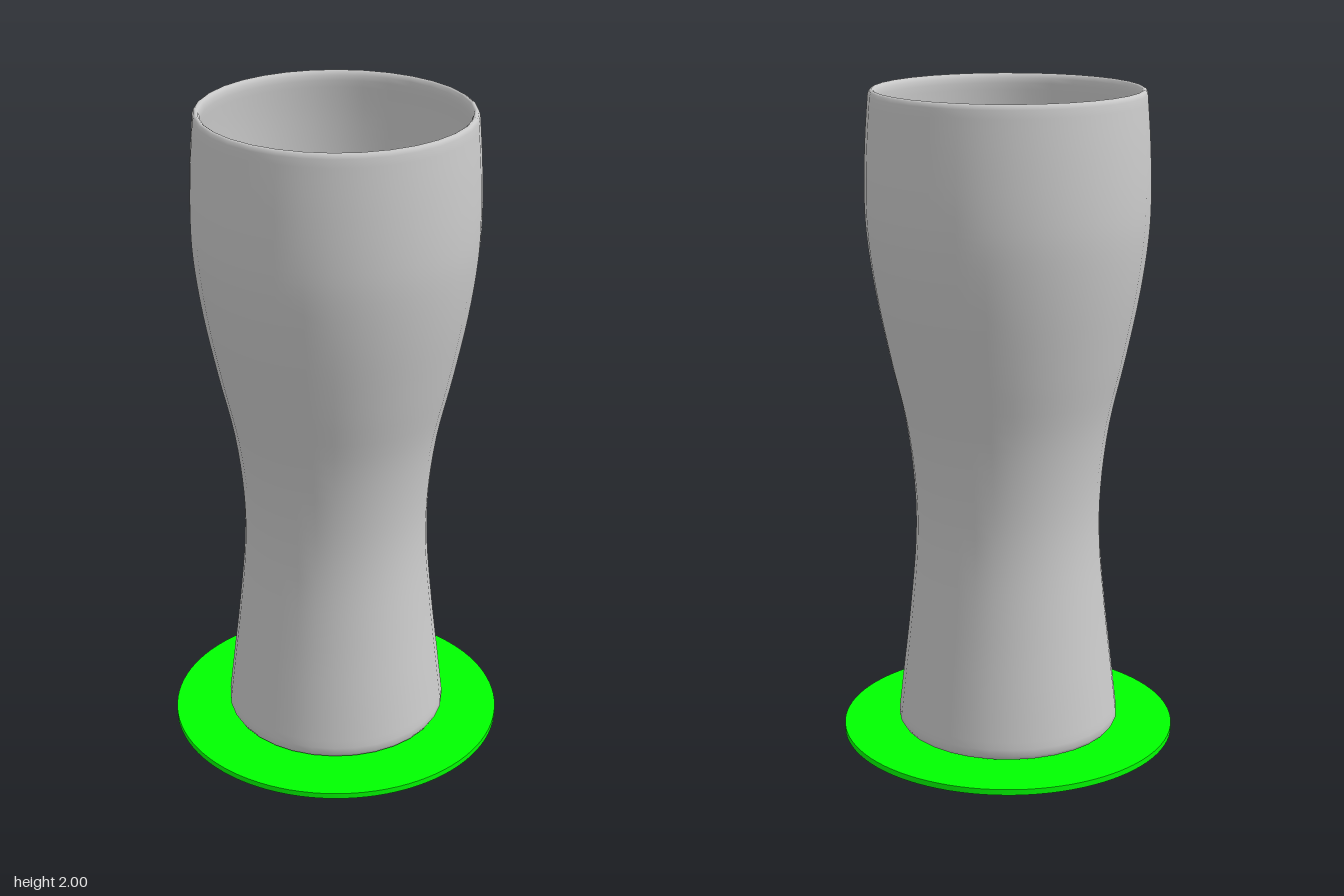
import * as THREE from 'three';

const SEGMENTS = 32;

// Smooth curve through a few [radius, height] points
function smoothProfile(points, divisions) {
  return new THREE.SplineCurve(points.map(([r, y]) => new THREE.Vector2(r, y))).getPoints(divisions);
}

function lathe(name, points, material) {
  const mesh = new THREE.Mesh(new THREE.LatheGeometry(points, SEGMENTS), material);
  mesh.name = name;
  return mesh;
}

export function createModel() {
  const group = new THREE.Group();
  group.name = 'glassOnCoaster';
  const grey = new THREE.MeshStandardMaterial({ color: 0xcccccc });
  const green = new THREE.MeshStandardMaterial({ color: 0x00ff00 });

  // Flat round coaster
  const coaster = new THREE.Mesh(new THREE.CylinderGeometry(0.515, 0.515, 0.018, 96), green);
  coaster.name = 'coaster';
  coaster.position.y = 0.009;
  group.add(coaster);

  const glass = new THREE.Group();
  glass.name = 'glass';
  group.add(glass);

  // Outer wall: flared foot, narrow waist, wide bowl, rounded lip
  const outer = smoothProfile([
    [0.342, 0.06], [0.326, 0.2], [0.303, 0.4], [0.284, 0.62], [0.286, 0.8], [0.31, 1.0],
    [0.355, 1.2], [0.395, 1.4], [0.418, 1.57], [0.423, 1.7], [0.418, 1.85], [0.408, 1.985],
  ], 44);
  const lip = [[0.404, 1.996], [0.397, 2.0], [0.391, 1.996], [0.387, 1.985]]
    .map(([r, y]) => new THREE.Vector2(r, y));

  // Inner wall, running down from the lip to the floor
  const inner = smoothProfile([
    [0.386, 1.97], [0.395, 1.85], [0.398, 1.7], [0.392, 1.57], [0.369, 1.4], [0.329, 1.2],
    [0.284, 1.0], [0.26, 0.8], [0.256, 0.62], [0.273, 0.4], [0.296, 0.2], [0.3, 0.13],
  ], 44);
  const foot = [[0.322, 0.023], [0.334, 0.027], [0.342, 0.04]].map(([r, y]) => new THREE.Vector2(r, y));
  glass.add(lathe('wall', [...foot, ...outer, ...lip, ...inner], grey));

  // Inside floor and underside
  for (const [name, radius, y, turn] of [['floor', 0.3, 0.13, -1], ['underside', 0.322, 0.023, 1]]) {
    const disc = new THREE.Mesh(new THREE.CircleGeometry(radius, SEGMENTS), grey);
    disc.name = name;
    disc.rotation.x = turn * Math.PI / 2;
    disc.position.y = y;
    glass.add(disc);
  }
  return group;
}
